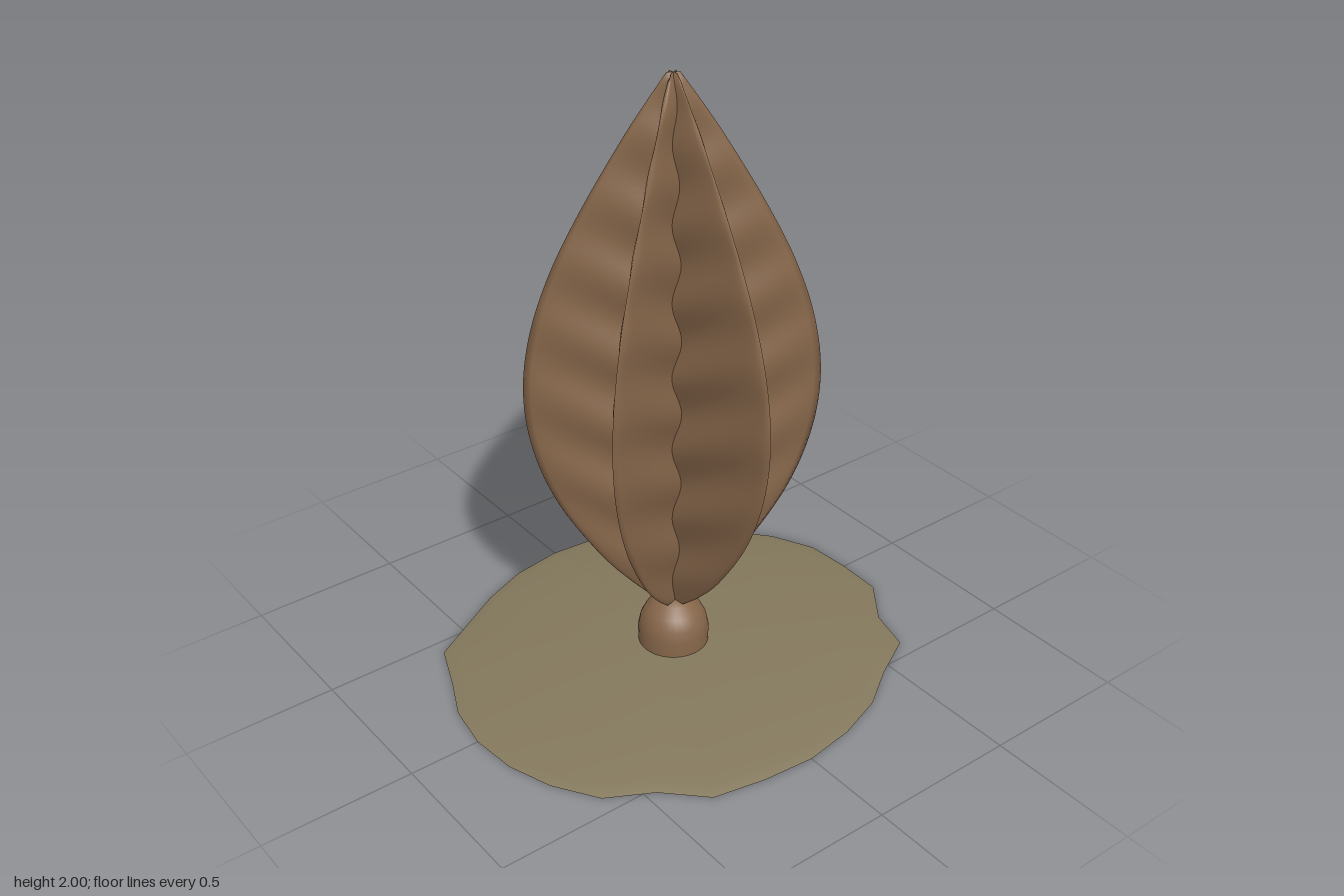
import * as THREE from 'three';

const brown = new THREE.MeshStandardMaterial({ color: 0x86664a });
brown.name = 'frondBrown';
const olive = new THREE.MeshStandardMaterial({ color: 0x83785c });
olive.name = 'groundOlive';

// Join rows of points into a surface; each row has the same number of points
function skin(rows) {
  const n = rows[0].length, index = [];
  for (let i = 0; i < rows.length - 1; i++) {
    for (let j = 0; j < n - 1; j++) {
      const a = i * n + j, c = a + n;
      index.push(a, c, a + 1, a + 1, c, c + 1);
    }
  }
  const g = new THREE.BufferGeometry();
  g.setAttribute('position', new THREE.Float32BufferAttribute(rows.flat(2), 3));
  g.setIndex(index);
  g.computeVertexNormals();
  return g;
}

// Outer outline of a vane: (radius, height)
const outline = new THREE.SplineCurve([
  [0.04, 0.2], [0.13, 0.28], [0.235, 0.4], [0.36, 0.6], [0.433, 0.8], [0.457, 1.0],
  [0.432, 1.2], [0.366, 1.4], [0.268, 1.6], [0.152, 1.8], [0.088, 1.9], [0.02, 2.0],
].map(([r, y]) => new THREE.Vector2(r, y)));

// Quilted vane along +z: thick at the axis, thin at the edge, with ribs rising outward
function vaneGeometry(phase) {
  const rows = [], steps = 110, across = 20;
  for (let i = 0; i <= steps; i++) {
    const { x: R, y } = outline.getPoint(i / steps);
    const ends = Math.min(1, i / 3, (steps - i) / 3);
    const size = Math.pow(R / 0.457, 0.45) * ends;
    const row = [];
    for (let j = -across; j <= across; j++) {
      const t = 1 - Math.abs(j) / across, r = t * R;
      const rib = Math.sin(2 * Math.PI * ((y - 0.55 * r) / 0.25 + 0.13) + phase);
      const h = (0.042 + 0.014 * rib) * Math.pow(1 - t, 0.55) * size;
      row.push([-Math.sign(j) * h, y, r]);
    }
    rows.push(row);
  }
  return skin(rows);
}

// Uneven rim of the ground disc: (x, z)
const rim = [
  [0, -0.695], [0.17, -0.68], [0.33, -0.625], [0.475, -0.54], [0.685, -0.3], [0.755, -0.155],
  [0.765, 0], [0.76, 0.155], [0.655, 0.295], [0.615, 0.44], [0.465, 0.52], [0.33, 0.61],
  [0.17, 0.665], [0, 0.69], [-0.175, 0.675], [-0.345, 0.64], [-0.465, 0.52], [-0.61, 0.44],
  [-0.7, 0.3], [-0.75, 0.155], [-0.765, 0], [-0.74, -0.155], [-0.68, -0.285],
  [-0.615, -0.445], [-0.325, -0.61], [-0.17, -0.67],
];

function discRings(rings) {
  const loop = [...rim, rim[0]];
  return skin(rings.map(([s, y]) => loop.map(([x, z]) => [x * s, y, z * s])));
}

export function createModel() {
  const model = new THREE.Group();
  const add = (name, geometry, material) => {
    const mesh = new THREE.Mesh(geometry, material);
    mesh.name = name;
    model.add(mesh);
    return mesh;
  };

  // Shallow mound with a flat underside
  add('groundTop', discRings([[1, 0], [0.94, 0.013], [0.7, 0.034], [0.35, 0.05], [0.001, 0.052]]), olive);
  add('groundUnderside', discRings([[0.001, 0], [1, 0]]), olive);

  // Rounded holdfast at the foot of the vanes
  const profile = [[0.115, 0.04], [0.116, 0.1], [0.108, 0.14], [0.09, 0.176], [0.06, 0.204], [0.03, 0.216], [0, 0.22]]
    .map(([r, y]) => new THREE.Vector2(r, y));
  add('holdfast', new THREE.LatheGeometry(profile, 32), brown);

  // Six vanes around the axis, ribs alternating between neighbours
  const shapes = [vaneGeometry(0), vaneGeometry(Math.PI)];
  for (let i = 0; i < 6; i++) {
    add('vane' + (i + 1), shapes[i % 2], brown).rotation.y = i * Math.PI / 3;
  }
  return model;
}
